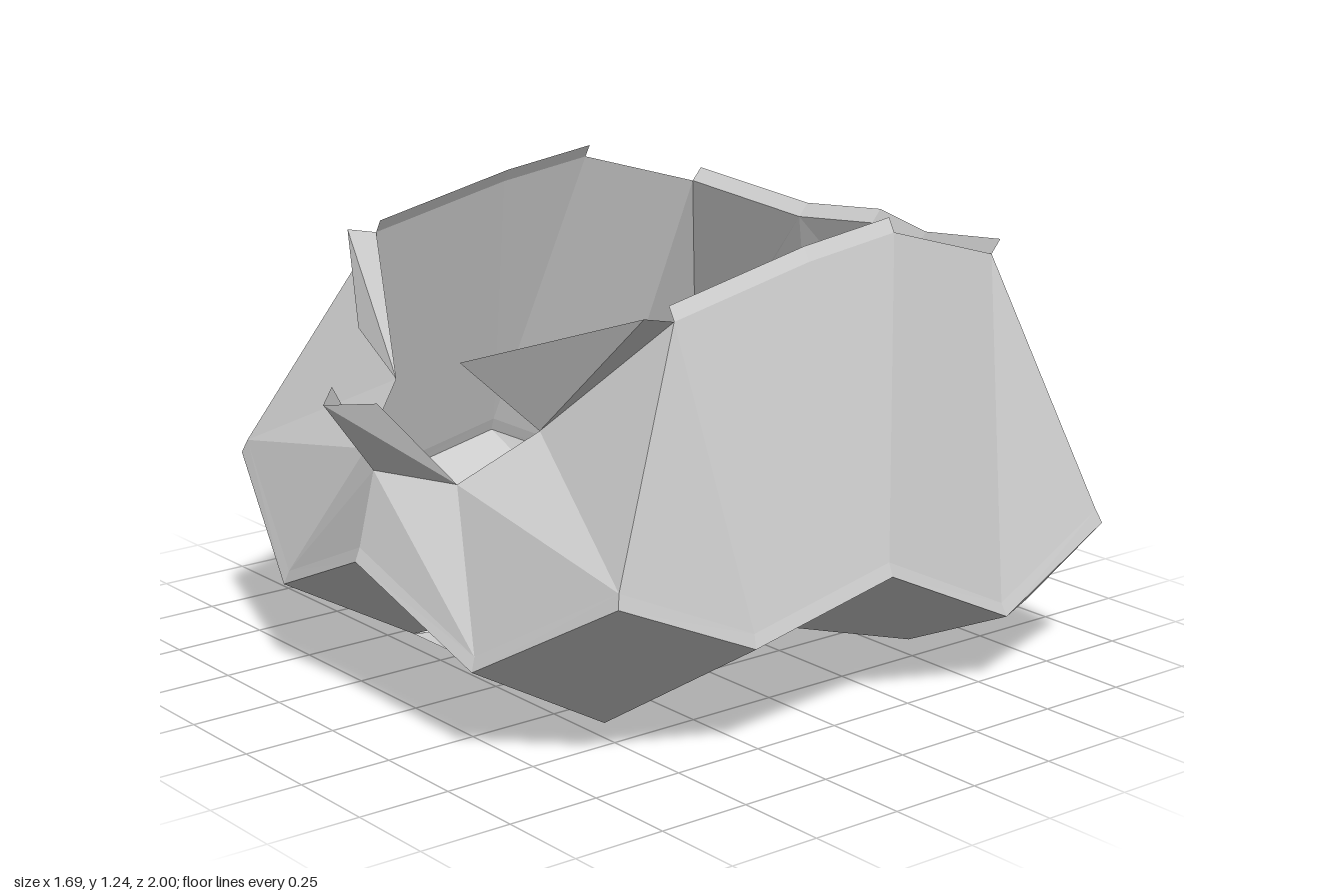
import * as THREE from 'three';

const material = new THREE.MeshStandardMaterial({
  color: 0xcccccc, flatShading: true, side: THREE.DoubleSide,
});

const mirrored = ([x, y, z]) => [-x, y, z];

// Fans each polygon into triangles, by default mirrored across x = 0 as well.
function panels(name, polygons, mirror = true) {
  const pos = [];
  for (const poly of polygons) {
    for (let i = 1; i < poly.length - 1; i++) {
      const [a, b, c] = [poly[0], poly[i], poly[i + 1]];
      pos.push(...a, ...b, ...c);
      if (mirror) pos.push(...mirrored(a), ...mirrored(c), ...mirrored(b));
    }
  }
  const geometry = new THREE.BufferGeometry();
  geometry.setAttribute('position', new THREE.Float32BufferAttribute(pos, 3));
  geometry.computeVertexNormals();
  const mesh = new THREE.Mesh(geometry, material);
  mesh.name = name;
  return mesh;
}

// Quads between two matching rows of points.
function strip(lower, upper) {
  return lower.slice(1).map((p, i) => [lower[i], p, upper[i + 1], upper[i]]);
}

export function createModel() {
  const group = new THREE.Group();
  group.name = 'foldedVessel';

  // Zigzag ridge from the front centre round to the back corner
  const ridge = [
    [0, 0.44, 0.92], [0.42, 0.26, 0.87], [0.825, 0.5, 0.74], [0.845, 0.32, 0.34],
    [0.845, 0.41, -0.1], [0.845, 0.22, -0.5], [0.835, 0.4, -0.85],
  ];
  const low = ridge.map(([x, y, z]) => [x, y - 0.015, z]);
  const up = ridge.map(([x, y, z]) => [x * 0.985, y + 0.02, z * 0.985]);
  group.add(panels('ridgeHem', strip(low, up)));

  // Floor corners
  const floorFront = [0, 0.19, 0.45];
  const frontFoot = [0.42, 0.02, 0.47];
  const sideFold = [0.31, 0.18, -0.1];
  const backFoot = [0.4, 0, -0.58];
  const floorBack = [0, 0.01, -0.27];

  // Back corners
  const backTip = [0.43, 0.035, -1];
  const vaultTop = [0, 0.67, -0.935];

  // Rim corners
  const sideRim = [[0.63, 1.08, 0.42], [0.63, 1.165, 0], [0.63, 1.2, -0.28]];
  const backRim = [[0.605, 1.09, -0.645], [0.24, 1.035, -0.73], [0, 1.05, -0.785]];
  const cheek = [0.31, 0.77, 0.58];
  const notch = [0.2, 0.64, 0.75];
  const spoutBase = [0, 0.65, 0.86];

  // Lower walls, folding in under the ridge
  group.add(panels('lowerWalls', [
    [low[0], floorFront, frontFoot, low[1]],
    [low[1], frontFoot, low[2]],
    [low[2], frontFoot, low[3]],
    [low[3], frontFoot, sideFold, low[4]],
    [low[4], sideFold, backFoot, low[5]],
    [low[5], backFoot, backTip],
    [low[5], backTip, low[6]],
  ]));

  // Creased floor
  group.add(panels('floor', [
    [floorFront, sideFold, frontFoot],
    [floorFront, floorBack, sideFold],
    [sideFold, floorBack, backFoot],
  ]));

  // Outer layer closing the floor from below
  group.add(panels('underside', [
    [mirrored(frontFoot), mirrored(sideFold), floorBack, sideFold, frontFoot],
  ], false));

  // Raised vault under the back: inner fold, then the flat outer layer
  group.add(panels('innerVault', [
    [floorBack, vaultTop, backFoot],
    [backFoot, vaultTop, backTip],
  ]));
  group.add(panels('outerVault', [[floorBack, vaultTop, backTip, backFoot]]));

  // Front wall
  group.add(panels('frontWall', [
    [spoutBase, up[0], up[1], notch],
    [notch, up[1], up[2], cheek],
    [cheek, up[2], sideRim[0]],
  ]));

  // Side walls
  group.add(panels('sideWalls', [
    [up[2], up[3], sideRim[0]],
    [up[3], up[4], sideRim[1], sideRim[0]],
    [up[4], up[5], sideRim[2], sideRim[1]],
    [up[5], up[6], backRim[0], sideRim[2]],
  ]));

  // Back wall, notched over the vault
  group.add(panels('backWall', [
    [backRim[1], backRim[0], up[6], low[6], backTip, vaultTop, backRim[2]],
  ]));

  // Slim fin standing out along the back seam
  group.add(panels('backSeamFin', [
    [[0.02, 1.04, -0.78], [0.02, 0.67, -0.93], [0.015, 0.87, -0.93]],
    [[0.02, 1.04, -0.78], [0.015, 0.87, -0.93], [0, 0.87, -0.93], [0, 1.045, -0.79]],
    [[0.015, 0.87, -0.93], [0.02, 0.67, -0.93], [0, 0.67, -0.935], [0, 0.87, -0.93]],
  ]));

  // Flaps folded out at the front corners
  group.add(panels('frontFlaps', [
    [[0.63, 1.1, 0.51], [0.22, 0.95, 0.75], cheek, sideRim[0]],
  ]));

  // Spout folded out at the front centre
  group.add(panels('spout', [
    [[0, 0.84, 1], spoutBase, notch, [0.1, 0.85, 0.91]],
  ]));

  // Narrow lips along the rim
  group.add(panels('sideLips',
    strip(sideRim, sideRim.map(([x, y, z]) => [x - 0.02, y + 0.035, z]))));
  group.add(panels('backLips',
    strip(backRim, backRim.map(([x, y, z]) => [x, y + 0.035, z - 0.03]))));

  return group;
}
